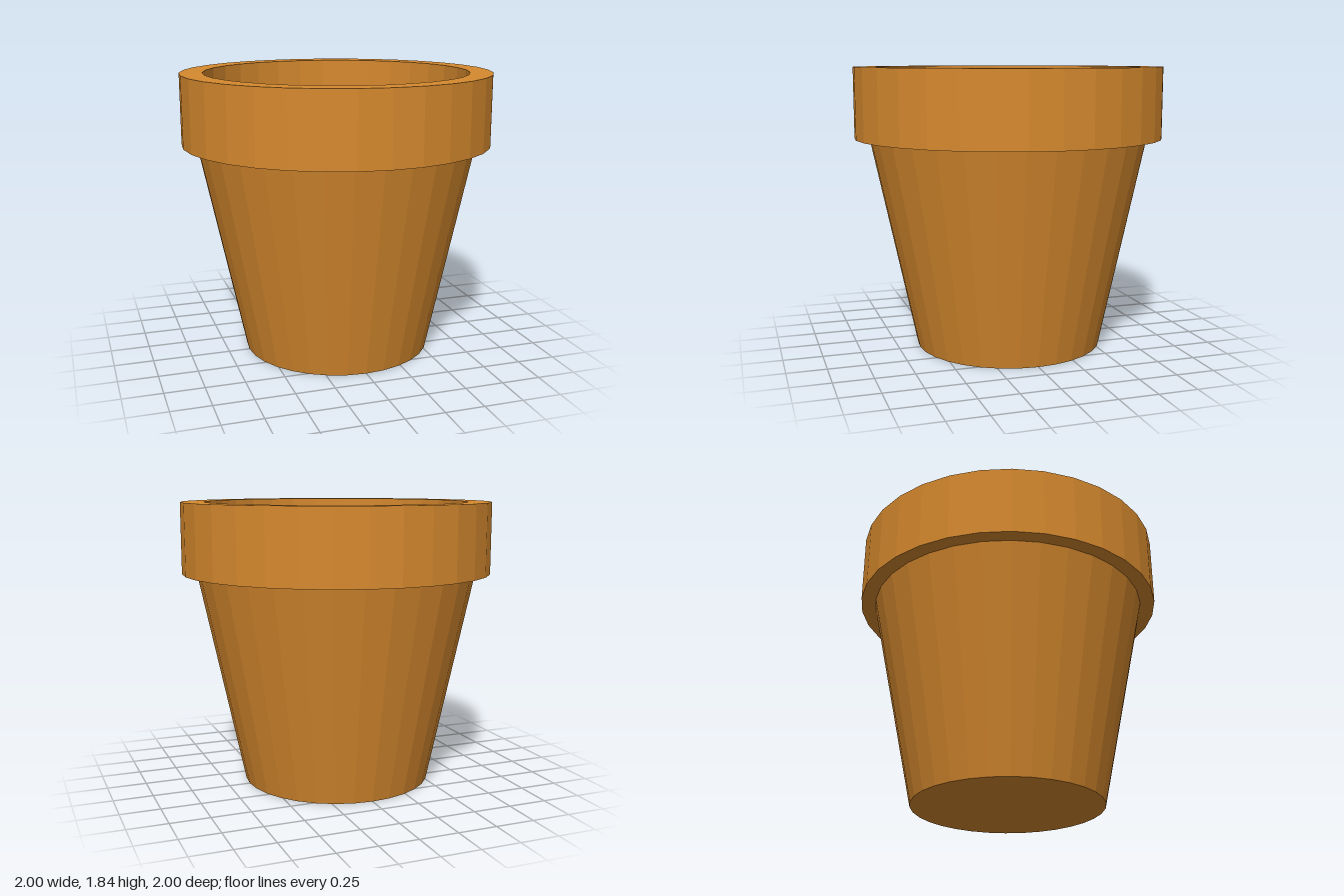
import * as THREE from 'three';

const SIDES = 32;

export function createModel() {
  const model = new THREE.Group();
  model.name = 'flowerPot';

  const terracotta = new THREE.MeshStandardMaterial({ color: 0xd6892e, flatShading: true });
  terracotta.name = 'terracotta';
  const earth = new THREE.MeshStandardMaterial({ color: 0x623e25, flatShading: true });
  earth.name = 'earth';

  // Faceted ring or vessel turned from an [radius, height] profile
  const turned = (name, profile) => {
    const points = profile.map(([r, y]) => new THREE.Vector2(r, y));
    const mesh = new THREE.Mesh(new THREE.LatheGeometry(points, SIDES), terracotta);
    mesh.name = name;
    model.add(mesh);
  };

  // Tapered body with closed base
  turned('body', [[0, 0], [0.613, 0], [0.905, 1.38]]);

  // Thick rim: underside, outer wall, flat lip, inner wall down to the soil
  turned('rim', [[0.905, 1.38], [1, 1.38], [1, 1.835], [0.853, 1.835], [0.853, 1.65]]);

  // Soil disc, set below the lip
  const soil = new THREE.Mesh(new THREE.CircleGeometry(0.853, SIDES), earth);
  soil.name = 'soil';
  soil.rotation.x = -Math.PI / 2;
  soil.position.y = 1.65;
  model.add(soil);

  return model;
}
